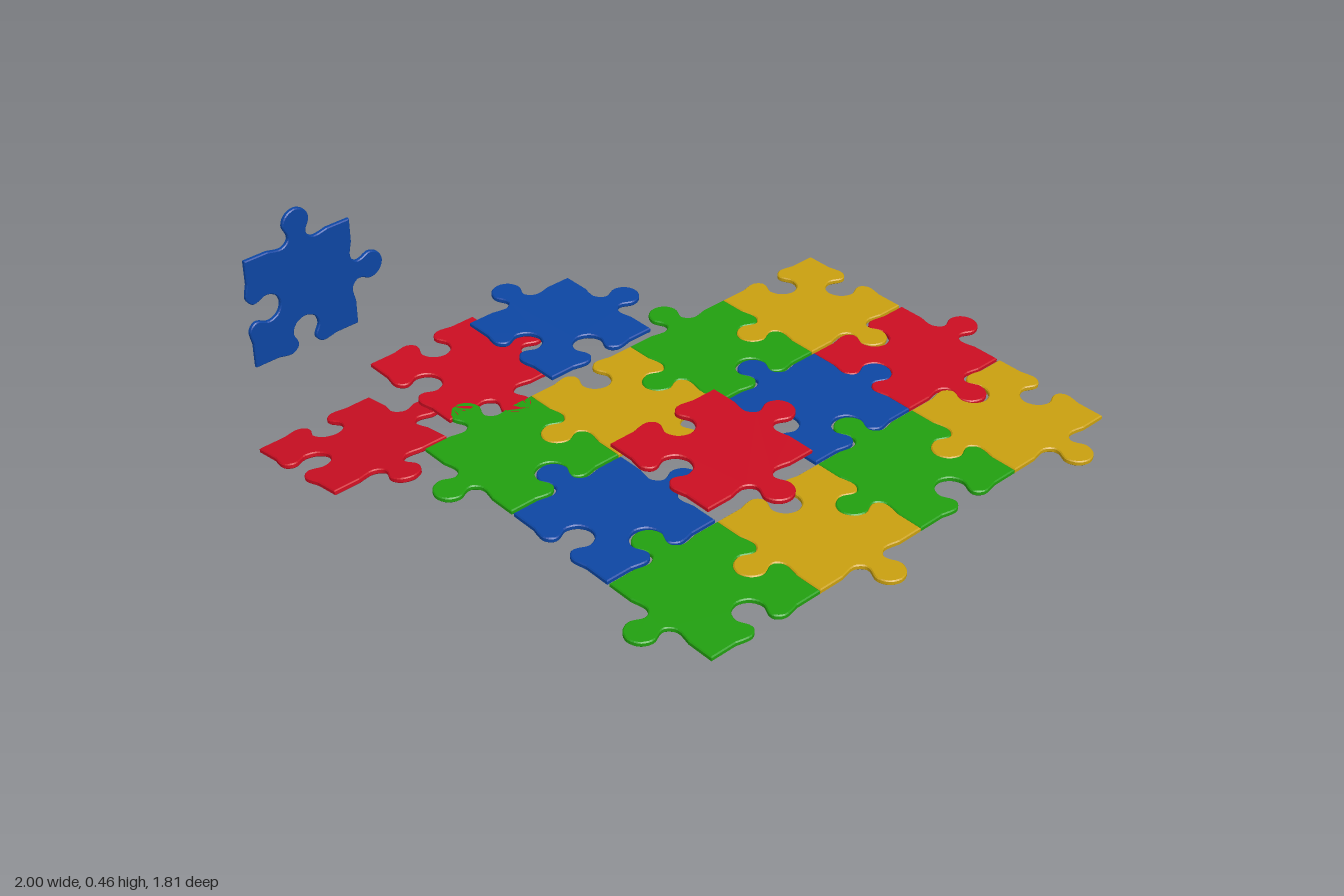
import * as THREE from 'three';

const HALF = 0.177;      // half the body width of a piece
const THICK = 0.015;
const BEVEL = 0.003;

// Half of a knob: [distance along the edge, distance outward]
const KNOB = [[-0.1, 0], [-0.057, -0.008], [-0.034, 0.006], [-0.031, 0.025],
  [-0.044, 0.057], [-0.031, 0.088], [0, 0.101]];

// signs: bottom, right, top, left; +1 is a tab, -1 a socket
function pieceGeometry(signs) {
  const half = KNOB.map(([t, n]) => new THREE.Vector2(t, n));
  const mirrored = half.slice(0, -1).reverse().map((p) => new THREE.Vector2(-p.x, p.y));
  const knob = new THREE.SplineCurve([...half, ...mirrored]).getPoints(44);
  const outline = [];
  signs.forEach((sign, side) => {
    const edge = [new THREE.Vector2(-HALF, 0), ...knob];
    for (const p of edge) {
      const q = new THREE.Vector2(p.x, -HALF - sign * p.y);
      outline.push(q.rotateAround(new THREE.Vector2(), side * Math.PI / 2));
    }
  });
  const geometry = new THREE.ExtrudeGeometry(new THREE.Shape(outline), {
    depth: THICK - 2 * BEVEL, bevelEnabled: true, bevelThickness: BEVEL,
    bevelSize: BEVEL, bevelOffset: -BEVEL, bevelSegments: 1,
  });
  geometry.translate(0, 0, -(THICK / 2 - BEVEL));
  return geometry.rotateX(-Math.PI / 2);
}

export function createModel() {
  const model = new THREE.Group();
  model.name = 'jigsawPuzzle';

  // One colour and one outline for each kind of piece
  const kind = (name, color, signs) => {
    const material = new THREE.MeshStandardMaterial({ color });
    material.name = name;
    return { name, material, geometry: pieceGeometry(signs) };
  };
  const gold = kind('gold', 0xc9a010, [1, 1, -1, -1]);
  const green = kind('green', 0x22a010, [1, -1, -1, 1]);
  const red = kind('red', 0xcb0e22, [-1, 1, 1, -1]);
  const blue = kind('blue', 0x0d46a3, [-1, -1, 1, 1]);

  const addPiece = (k, label, x, y, z) => {
    const mesh = new THREE.Mesh(k.geometry, k.material);
    mesh.name = `${k.name}${label}`;
    mesh.position.set(x, y, z);
    model.add(mesh);
    return mesh;
  };

  // Joined pieces, with one place left empty
  const rows = [[gold, red, gold], [green, blue, green], [gold, null, gold], [green, blue, green]];
  rows.forEach((row, r) => row.forEach((k, c) => {
    if (k) addPiece(k, `JoinedPiece${r + 1}${c + 1}`, -0.006 + c * 0.363, 0.148, -0.627 + r * 0.355);
  }));

  // Loose pieces lying or floating level
  addPiece(red, 'FloatingPiece', 0.447, 0.293, 0.195);
  addPiece(blue, 'FloatingPiece', -0.324, 0.207, 0.04);
  addPiece(red, 'LoosePiece', -0.418, 0.148, 0.314);

  // Tilted piece
  addPiece(red, 'TiltedPiece', -0.362, 0.12, 0.72).rotation.z = 0.167;

  // Piece standing on edge, face turned to -x and top tab upward
  const standing = addPiece(blue, 'StandingPiece', -0.992, HALF, 0.443);
  standing.quaternion.setFromRotationMatrix(new THREE.Matrix4().makeBasis(
    new THREE.Vector3(0, 0, 1), new THREE.Vector3(-1, 0, 0), new THREE.Vector3(0, -1, 0)));

  return model;
}
